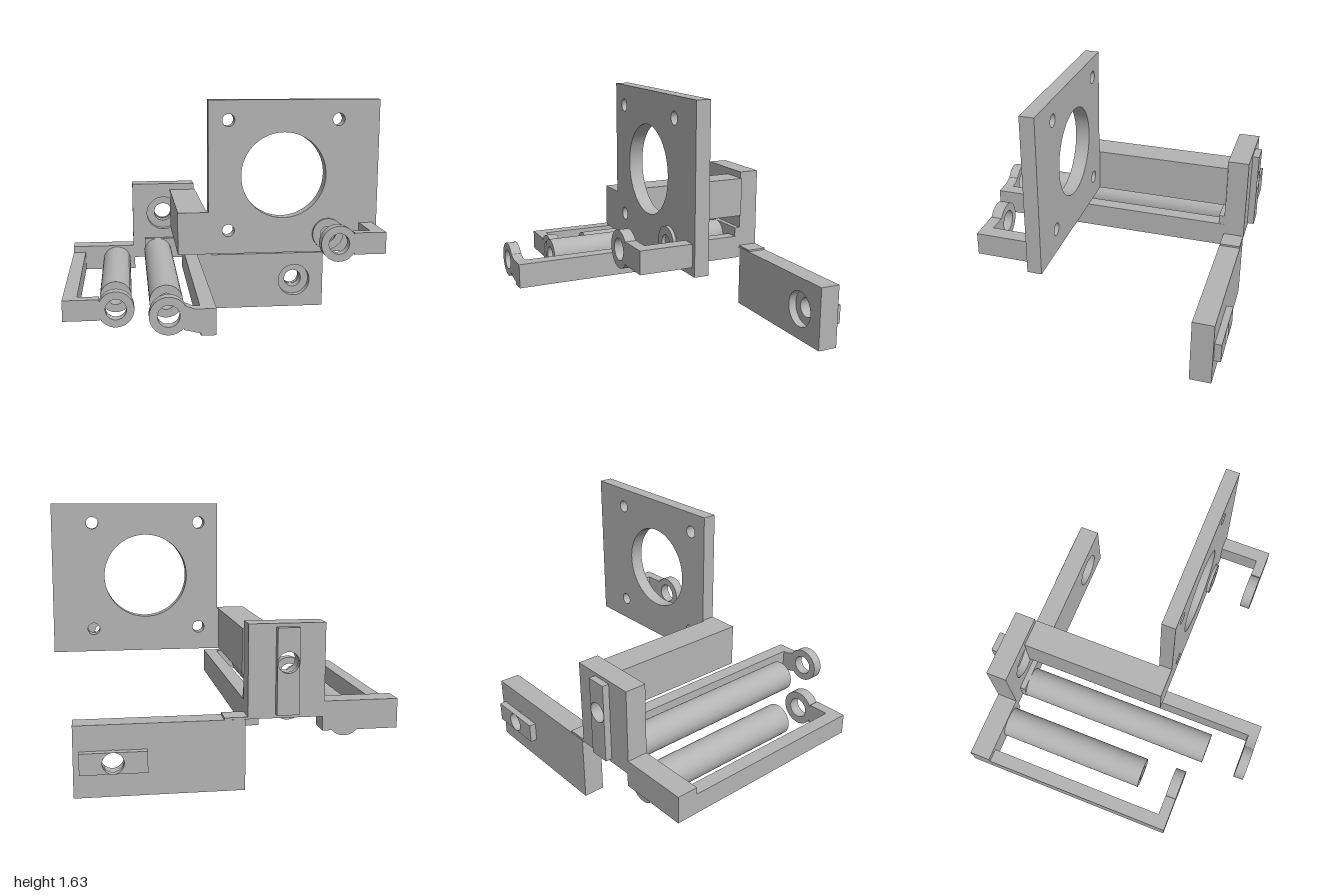
import * as THREE from 'three';
import { toCreasedNormals } from 'three/addons/utils/BufferGeometryUtils.js';

export function createModel() {
  const model = new THREE.Group();
  model.name = 'rollerBracket';
  const grey = new THREE.MeshStandardMaterial({ color: 0xb4b4b4 });
  grey.name = 'grey';

  function add(name, geometry) {
    const mesh = new THREE.Mesh(geometry, grey);
    mesh.name = name;
    model.add(mesh);
  }

  // Box given by its limits on each axis
  function box(name, x0, x1, y0, y1, z0, z1) {
    const g = new THREE.BoxGeometry(x1 - x0, y1 - y0, z1 - z0);
    g.translate((x0 + x1) / 2, (y0 + y1) / 2, (z0 + z1) / 2);
    add(name, g);
  }

  // Extrusion from z0 to z1, holes as [x, y, radius]
  function extrude(name, shape, holes, z0, z1) {
    for (const [x, y, r] of holes) {
      shape.holes.push(new THREE.Path().absarc(x, y, r, 0, Math.PI * 2, true));
    }
    const g = new THREE.ExtrudeGeometry(shape, { depth: z1 - z0, bevelEnabled: false, curveSegments: 40 });
    g.translate(0, 0, z0);
    add(name, toCreasedNormals(g, 0.6));
  }

  const polygon = (points) => new THREE.Shape(points.map(([x, y]) => new THREE.Vector2(x, y)));
  const rect = (x0, x1, y0, y1) => polygon([[x0, y0], [x1, y0], [x1, y1], [x0, y1]]);
  const disc = (x, y, r) => new THREE.Shape().absarc(x, y, r, 0, Math.PI * 2, false);

  // Mounting plate with its stepped left side and connecting arm
  extrude('mountingPlate',
    polygon([[-0.285, 0.655], [1, 0.655], [1, 1.63], [-0.09, 1.63], [-0.09, 0.925], [-0.285, 0.925]]),
    [[0.39, 1.155, 0.272], [0.037, 1.505, 0.039], [0.738, 1.505, 0.039],
      [0.037, 0.805, 0.039], [0.738, 0.805, 0.039]],
    0.138, 0.225);
  box('plateArm', -0.285, -0.1, 0.655, 0.925, -0.73, 0.138);

  // Back block and lower plate, each with a counterbored hole and a guide key
  const backPlates = [
    { name: 'backBlock', limits: [-0.56, -0.11, 0.42, 0.97], hole: [-0.335, 0.75], key: [-0.4, -0.27, 0.445, 0.95] },
    { name: 'lowerPlate', limits: [-0.097, 0.883, 0, 0.42], hole: [0.66, 0.207], key: [0.465, 0.85, 0.145, 0.27] },
  ];
  for (const { name, limits, hole, key } of backPlates) {
    extrude(name + 'Front', rect(...limits), [[...hole, 0.12]], -0.78, -0.725);
    extrude(name + 'Rear', rect(...limits), [[...hole, 0.065]], -0.86, -0.78);
    extrude(name + 'Key', rect(...key), [[...hole, 0.062]], -0.903, -0.86);
  }
  box('plateLink', -0.115, 0.025, 0.415, 0.432, -0.858, -0.727);

  // Left bar with its long side arm
  box('leftBar', -1, -0.55, 0.335, 0.51, -0.86, -0.725);
  box('leftArm', -1, -0.913, 0.335, 0.465, -0.725, 0.53);
  box('leftArmEnd', -0.913, -0.78, 0.335, 0.465, 0.46, 0.53);
  extrude('leftRing', disc(-0.68, 0.4, 0.111), [[-0.68, 0.4, 0.064]], 0.46, 0.53);

  // Middle arm with its tapered end
  box('rollerSeat', -0.475, -0.112, 0.42, 0.565, -0.725, -0.69);
  box('middleArm', -0.2, -0.11, 0.345, 0.503, -0.725, 0.9);
  extrude('middleArmEnd', polygon([[-0.295, 0.382], [-0.2, 0.36], [-0.2, 0.503], [-0.24, 0.505], [-0.3, 0.53]]),
    [], 0.835, 0.9);
  extrude('middleRing', disc(-0.38, 0.465, 0.111), [[-0.38, 0.465, 0.064]], 0.835, 0.9);

  // Right hook on the mounting plate
  box('rightArm', 0.885, 0.972, 0.705, 0.84, 0.225, 0.54);
  box('rightArmEnd', 0.775, 0.885, 0.705, 0.84, 0.475, 0.54);
  extrude('rightRing', disc(0.68, 0.773, 0.111), [[0.68, 0.773, 0.064]], 0.475, 0.54);
  extrude('rightBoss', disc(0.68, 0.773, 0.1), [[0.68, 0.773, 0.05]], 0.225, 0.245);

  // Rollers with a blind bore at the front
  function roller(name, x, y, z0, z1) {
    extrude(name, disc(x, y, 0.1), [], z0, z1 - 0.2);
    extrude(name + 'Tip', disc(x, y, 0.1), [[x, y, 0.05]], z1 - 0.2, z1);
  }
  roller('leftRoller', -0.683, 0.4, -0.855, 0.258);
  roller('middleRoller', -0.38, 0.465, -0.7, 0.605);

  return model;
}
